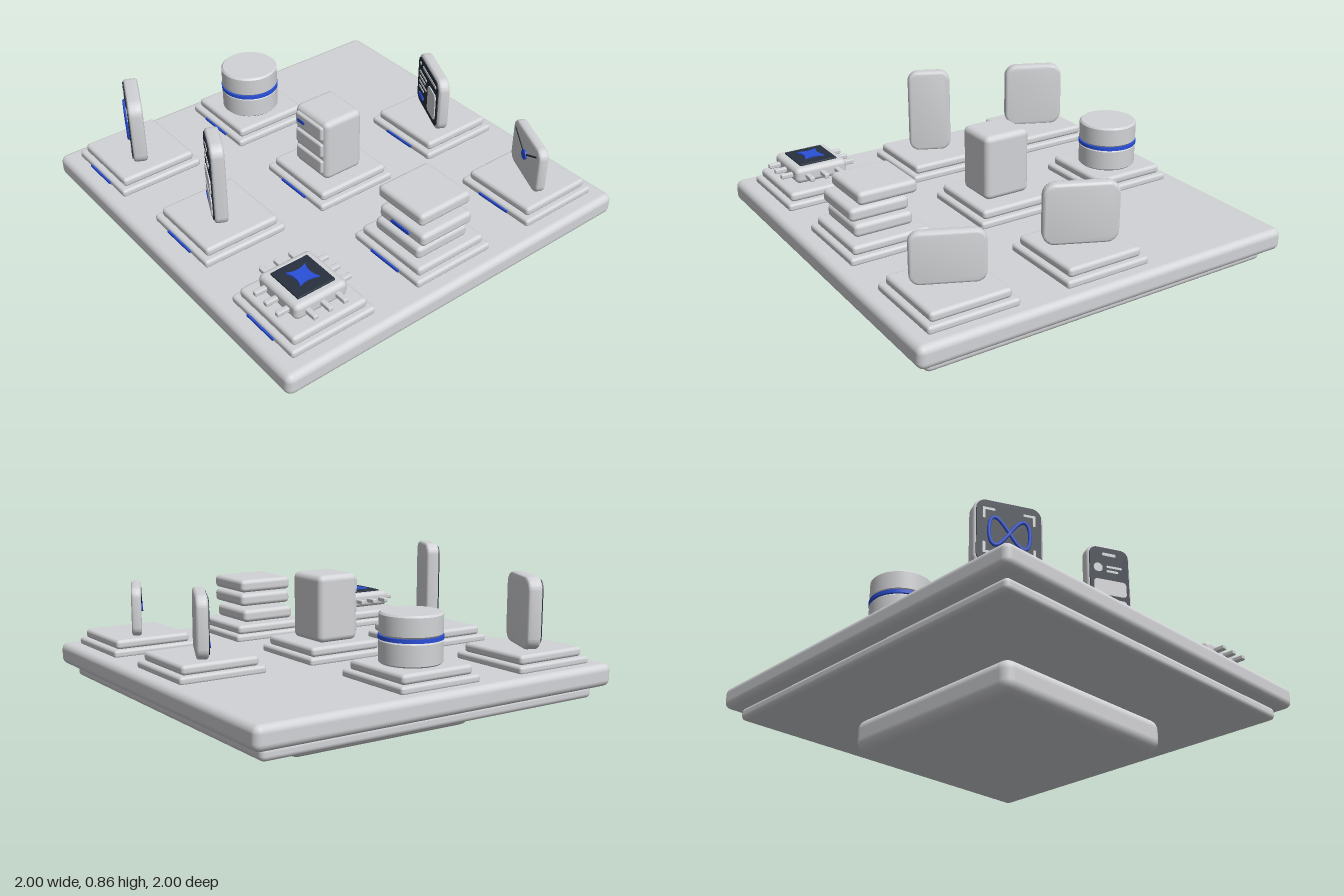
import * as THREE from 'three';
import { toCreasedNormals } from 'three/addons/utils/BufferGeometryUtils.js';
import { RoundedBoxGeometry } from 'three/addons/geometries/RoundedBoxGeometry.js';

const mat = (name, color) => Object.assign(new THREE.MeshStandardMaterial({ color }), { name });

export function createModel() {
  const root = new THREE.Group();
  root.name = 'displayBoard';
  const shell = mat('paleGrey', 0xd2d3d6);
  const dark = mat('darkScreen', 0x27313e);
  const blue = mat('blueAccent', 0x2a50da);

  const add = (parent, name, geo, material, x = 0, y = 0, z = 0) => {
    const m = new THREE.Mesh(geo, material);
    m.name = name;
    m.position.set(x, y, z);
    parent.add(m);
    return m;
  };
  const group = (name, x, y, z, angle = 0) => {
    const g = new THREE.Group();
    g.name = name;
    g.position.set(x, y, z);
    g.rotation.y = angle;
    root.add(g);
    return g;
  };
  const rbox = (parent, name, w, h, d, r, x, y, z, material = shell) =>
    add(parent, name, new RoundedBoxGeometry(w, h, d, 3, r), material, x, y, z);

  // Rounded rectangle outline centred on the origin
  const outline = (w, h, r) => {
    const s = new THREE.Shape();
    const a = w / 2 - r, b = h / 2 - r;
    s.absarc(a, b, r, 0, Math.PI / 2);
    s.absarc(-a, b, r, Math.PI / 2, Math.PI);
    s.absarc(-a, -b, r, Math.PI, Math.PI * 1.5);
    s.absarc(a, -b, r, Math.PI * 1.5, Math.PI * 2);
    s.closePath();
    return s;
  };
  // Thin detail lying on a front face
  const plate = (parent, name, material, w, h, r, x, y, z, t = 0.006) =>
    add(parent, name, new THREE.ExtrudeGeometry(outline(w, h, r), { depth: t, bevelEnabled: false, curveSegments: 6 }),
      material, x, y, z);

  // Upright panel with softened edges, turned about its own centre
  const TURN = -0.435;
  const panel = (name, w, h, d, r, x, z) => {
    const g = group(name, x, 0.415 + h / 2, z, TURN);
    const b = 0.014;
    const geo = new THREE.ExtrudeGeometry(outline(w - 2 * b, h - 2 * b, r - b),
      { depth: d - 2 * b, bevelThickness: b, bevelSize: b, bevelSegments: 3, curveSegments: 8 });
    geo.translate(0, 0, -d / 2 + b);
    add(g, name + 'Body', toCreasedNormals(geo, 0.7), shell);
    return g;
  };

  // Board
  rbox(root, 'foot', 1.07, 0.165, 1.07, 0.055, 0, 0.0825, 0);
  rbox(root, 'underSlab', 1.87, 0.064, 1.87, 0.025, 0, 0.198, 0);
  rbox(root, 'topSlab', 2, 0.112, 2, 0.035, 0, 0.284, 0);

  // Stepped pedestals with a blue strip at the front
  const spots = [[-0.7, 0.69], [-0.005, 0.66], [0.69, 0.69], [-0.7, -0.005], [-0.005, -0.005],
    [0.69, -0.005], [-0.005, -0.7], [0.69, -0.7]];
  for (const [x, z] of spots) {
    const p = group('pedestal', x, 0, z);
    rbox(p, 'pedestalStep', 0.45, 0.04, 0.45, 0.015, 0, 0.354, 0);
    rbox(p, 'pedestalTop', 0.4, 0.047, 0.4, 0.018, 0, 0.395, 0);
    add(p, 'pedestalStrip', new THREE.BoxGeometry(0.19, 0.011, 0.014), blue, 0, 0.355, 0.227);
  }

  // Square panel with a looped line and corner brackets
  const loopPanel = panel('loopPanel', 0.32, 0.35, 0.07, 0.065, -0.7, 0.692);
  plate(loopPanel, 'loopScreen', dark, 0.295, 0.312, 0.045, 0, 0.005, 0.034);
  const pts = [];
  for (let i = 0; i < 40; i++) {
    const t = (i / 40) * Math.PI * 2;
    pts.push(new THREE.Vector3(0.093 * Math.cos(t), 0.068 * Math.sin(2 * t), 0));
  }
  add(loopPanel, 'loopLine', new THREE.TubeGeometry(new THREE.CatmullRomCurve3(pts, true), 100, 0.008, 6, true),
    blue, 0, 0.01, 0.044);
  for (const sx of [-1, 1]) for (const sy of [-1, 1]) {
    plate(loopPanel, 'bracket', shell, 0.055, 0.012, 0.003, sx * 0.092, 0.01 + sy * 0.107, 0.037);
    plate(loopPanel, 'bracket', shell, 0.012, 0.055, 0.003, sx * 0.114, 0.01 + sy * 0.086, 0.037);
  }

  // Tall handset panel with a list of cards
  const handset = panel('handset', 0.222, 0.443, 0.065, 0.055, -0.003, 0.664);
  plate(handset, 'handsetScreen', dark, 0.2, 0.405, 0.04, 0, 0.003, 0.031);
  const hz = 0.034;
  plate(handset, 'pill', shell, 0.07, 0.016, 0.007, 0, 0.168, hz);
  plate(handset, 'avatar', shell, 0.046, 0.046, 0.022, -0.058, 0.092, hz);
  plate(handset, 'textLine', shell, 0.08, 0.012, 0.005, 0.025, 0.102, hz);
  plate(handset, 'textLine', shell, 0.06, 0.012, 0.005, 0.015, 0.078, hz);
  plate(handset, 'card', shell, 0.165, 0.08, 0.018, 0, -0.012, hz, 0.009);
  plate(handset, 'card', shell, 0.165, 0.105, 0.018, 0, -0.125, hz, 0.009);
  plate(handset, 'cardButton', blue, 0.068, 0.02, 0.008, -0.04, -0.138, 0.04);

  // Processor chip with three pins a side
  const chip = group('chip', 0.69, 0.47, 0.69);
  rbox(chip, 'chipBody', 0.28, 0.08, 0.28, 0.025, 0, 0.002, 0);
  rbox(chip, 'chipDie', 0.2, 0.012, 0.2, 0.004, 0, 0.044, 0, dark);
  for (const o of [-0.08, 0, 0.08]) {
    rbox(chip, 'pinsAcross', 0.4, 0.024, 0.026, 0.006, 0, 0, o);
    rbox(chip, 'pinsAlong', 0.026, 0.024, 0.4, 0.006, o, 0, 0);
  }
  const star = new THREE.Shape();
  star.moveTo(0.052, 0.052);
  for (const [cx, cy, px, py] of [[0, 0.025, -0.052, 0.052], [-0.025, 0, -0.052, -0.052],
    [0, -0.025, 0.052, -0.052], [0.025, 0, 0.052, 0.052]]) star.quadraticCurveTo(cx, cy, px, py);
  const starGeo = new THREE.ExtrudeGeometry(star, { depth: 0.009, bevelEnabled: false, curveSegments: 6 });
  add(chip, 'chipStar', starGeo.rotateX(-Math.PI / 2), blue, 0, 0.049, 0);

  // Two-part drum with a blue band
  const drum = group('drum', -0.7, 0, -0.005);
  const drumPart = (h) => toCreasedNormals(new THREE.LatheGeometry(
    [[0, 0], [0.138, 0], [0.147, 0.009], [0.147, h - 0.009], [0.138, h], [0, h]]
      .map(([x, y]) => new THREE.Vector2(x, y)), 48), 0.5);
  add(drum, 'drumLower', drumPart(0.115), shell, 0, 0.416, 0);
  add(drum, 'drumUpper', drumPart(0.105), shell, 0, 0.547, 0);
  add(drum, 'drumBand', new THREE.CylinderGeometry(0.15, 0.15, 0.018, 48), blue, 0, 0.539, 0);

  // Cabinet with three drawers
  const cabinet = group('cabinet', -0.005, 0, 0);
  rbox(cabinet, 'cabinetBody', 0.25, 0.333, 0.225, 0.03, 0, 0.582, 0.003);
  for (let i = 0; i < 3; i++)
    rbox(cabinet, 'drawer', 0.205, 0.078, 0.03, 0.012, 0, 0.49 + i * 0.097, 0.115);
  plate(cabinet, 'drawerLight', blue, 0.055, 0.018, 0.007, -0.055, 0.684, 0.128);

  // Stack of three offset slabs
  const stack = group('slabStack', 0.69, 0, 0);
  for (const [x, y, z] of [[0.005, 0.455, 0.012], [0.026, 0.539, 0.008], [-0.011, 0.62, -0.012]])
    rbox(stack, 'stackSlab', 0.302, 0.066, 0.302, 0.022, x, y, z);
  plate(stack, 'stackLight', blue, 0.12, 0.018, 0.007, 0.026, 0.537, 0.157, 0.009);

  // Wide window panel with text lines and a card
  const windowPanel = panel('windowPanel', 0.355, 0.3, 0.058, 0.06, -0.005, -0.7);
  plate(windowPanel, 'windowScreen', dark, 0.325, 0.262, 0.04, 0, 0.002, 0.027);
  const wz = 0.03;
  plate(windowPanel, 'titleBar', shell, 0.22, 0.016, 0.007, 0.025, 0.1, wz);
  plate(windowPanel, 'titleDot', shell, 0.02, 0.02, 0.009, -0.125, 0.1, wz);
  for (const [w, y] of [[0.12, 0.05], [0.1, 0.02], [0.12, -0.01], [0.08, -0.04]])
    plate(windowPanel, 'textLine', shell, w, 0.013, 0.005, -0.135 + w / 2, y, wz);
  plate(windowPanel, 'windowButton', blue, 0.08, 0.024, 0.01, -0.09, -0.085, wz, 0.009);
  plate(windowPanel, 'windowCard', shell, 0.12, 0.15, 0.02, 0.08, -0.02, wz, 0.009);

  // Envelope panel with a folded flap line and a round seal
  const envelope = panel('envelope', 0.335, 0.247, 0.05, 0.05, 0.69, -0.7);
  for (const s of [-1, 1]) {
    const fold = add(envelope, 'flapLine', new THREE.BoxGeometry(0.155, 0.008, 0.006), dark, s * 0.068, 0.045, 0.026);
    fold.rotation.z = s * 0.5;
  }
  plate(envelope, 'seal', blue, 0.05, 0.05, 0.024, 0, 0.008, 0.025, 0.009);

  return root;
}
